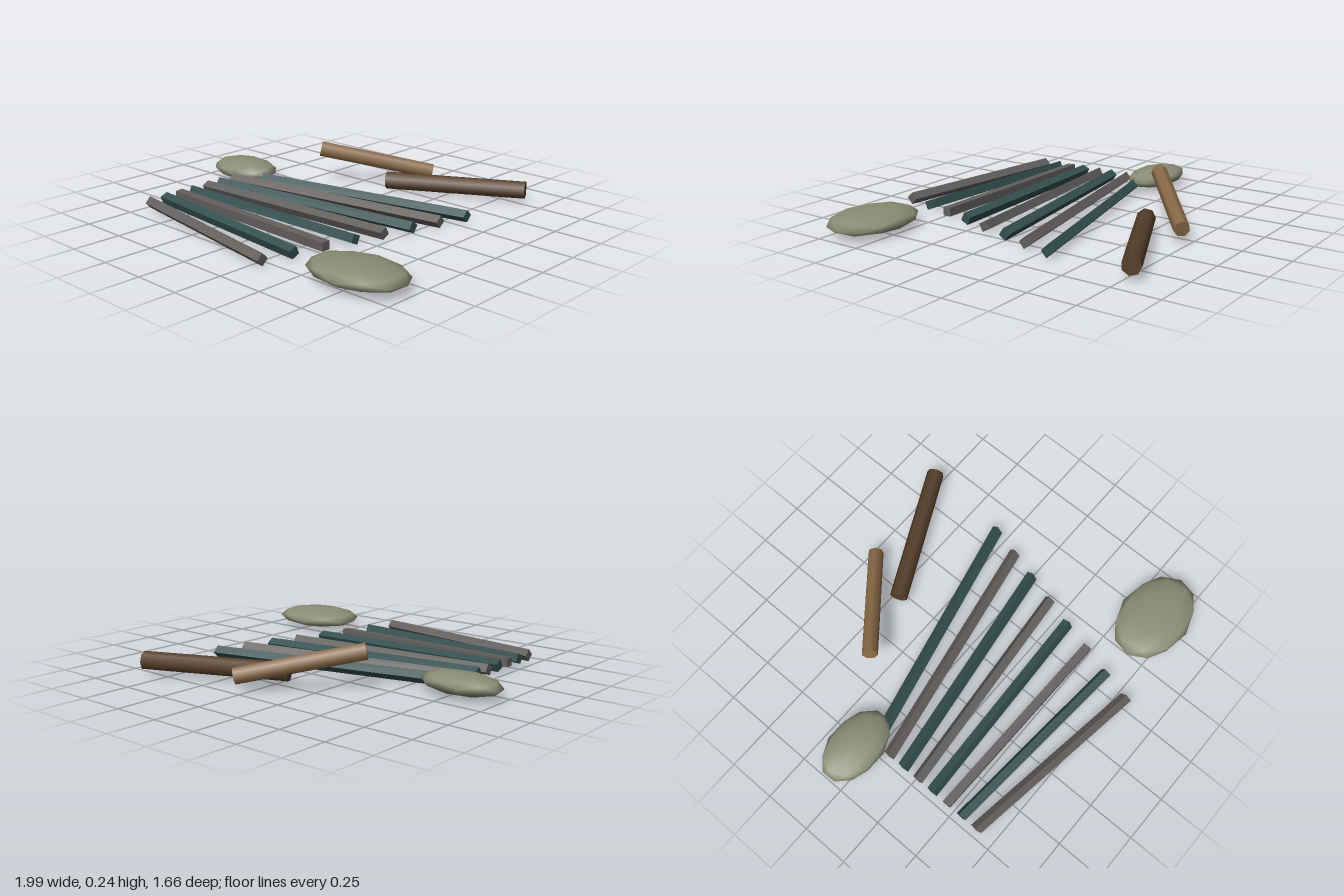
import * as THREE from 'three';
import { mergeVertices } from 'three/addons/utils/BufferGeometryUtils.js';

const mat = (name, color) => {
  const m = new THREE.MeshStandardMaterial({ color });
  m.name = name;
  return m;
};

export function createModel() {
  const model = new THREE.Group();
  model.name = 'debris';
  const teal = mat('dark teal', 0x34504f);
  const grey = mat('warm grey', 0x625f5d);
  const stoneMat = mat('sage stone', 0x8b8d75);
  const barkLight = mat('light bark', 0x8a6a47);
  const barkDark = mat('dark bark', 0x553e2a);

  const add = (name, geometry, material) => {
    const mesh = new THREE.Mesh(geometry, material);
    mesh.name = name;
    model.add(mesh);
    return mesh;
  };

  // Fanned slats: square bars, each rolled, sheared so the ends stay square to x
  const slats = [ // left z, right x, right z, roll in degrees
    [-0.02, 0.605, -0.315, 45],
    [0.075, 0.56, -0.155, 40],
    [0.17, 0.515, 0.0, 55],
    [0.265, 0.47, 0.16, 28],
    [0.36, 0.425, 0.315, 65],
    [0.455, 0.385, 0.475, 3],
    [0.55, 0.34, 0.635, 22],
    [0.645, 0.30, 0.795, 45],
  ];
  const leftX = -0.715;
  slats.forEach(([z0, x1, z1, roll], i) => {
    const g = new THREE.BoxGeometry(1, 0.045, 0.045);
    g.rotateX(THREE.MathUtils.degToRad(roll));
    const p = g.attributes.position;
    for (let k = 0; k < p.count; k++) {
      const t = p.getX(k) + 0.5;
      p.setXYZ(k,
        leftX + (x1 - leftX) * t,
        p.getY(k) + 0.046 - 0.008 * t,
        p.getZ(k) + z0 + (z1 - z0) * t);
    }
    g.computeVertexNormals();
    add('slat' + (i + 1), g, i % 2 ? grey : teal);
  });

  // Logs: seven-sided cylinders laid between two points
  const log = (name, a, b, r0, r1, material) => {
    const from = new THREE.Vector3(...a), to = new THREE.Vector3(...b);
    const dir = to.clone().sub(from);
    const mesh = add(name, new THREE.CylinderGeometry(r1, r0, dir.length(), 7), material);
    mesh.position.copy(from).lerp(to, 0.5);
    mesh.quaternion.setFromUnitVectors(new THREE.Vector3(0, 1, 0), dir.normalize());
  };
  log('darkLog', [-0.045, 0.063, -0.455], [0.635, 0.075, -0.785], 0.048, 0.047, barkDark);
  log('leaningLog', [-0.41, 0.2, -0.315], [0.065, 0.078, -0.715], 0.042, 0.041, barkLight);

  // Flattened stones with soft shading
  const stone = (name, pos, size, turn, tilt) => {
    let g = new THREE.IcosahedronGeometry(1, 1);
    g.deleteAttribute('normal');
    g.deleteAttribute('uv');
    g = mergeVertices(g, 1e-4);
    g.rotateY(turn);
    g.scale(...size);
    g.rotateX(tilt);
    g.computeVertexNormals();
    add(name, g, stoneMat).position.set(...pos);
  };
  stone('smallStone', [-0.787, 0.064, -0.082], [0.215, 0.054, 0.137], 0.3, 0.05);
  stone('largeStone', [0.738, 0.062, 0.645], [0.262, 0.05, 0.185], 0.1, -0.03);

  return model;
}
